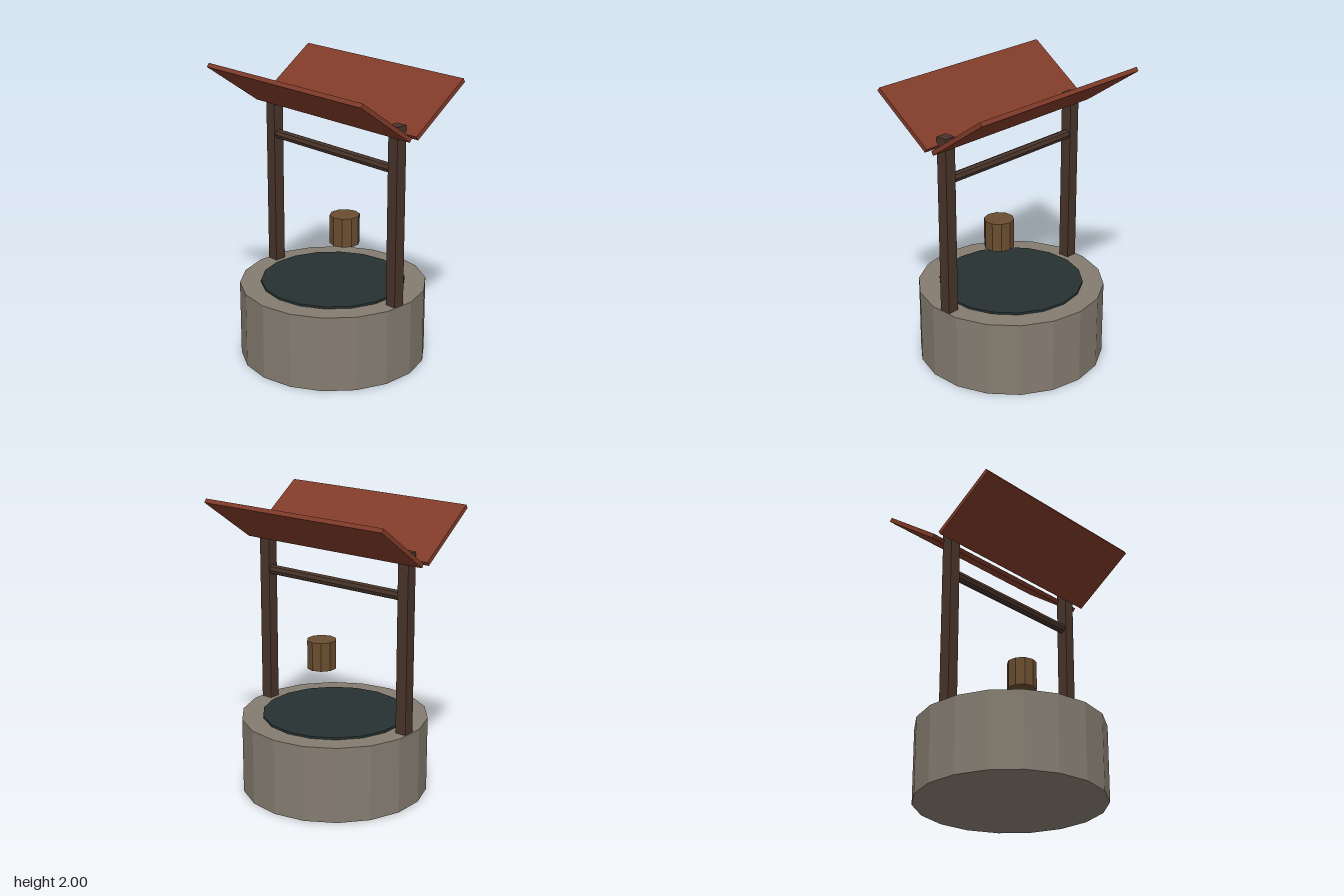
import * as THREE from 'three';

export function createModel() {
  const model = new THREE.Group();
  model.name = 'well';

  const material = (name, color) => {
    const m = new THREE.MeshStandardMaterial({ color, flatShading: true });
    m.name = name;
    return m;
  };
  const stone = material('stone', 0x857c70);
  const water = material('darkWater', 0x263131);
  const timber = material('darkTimber', 0x48342a);
  const bucketWood = material('bucketWood', 0x6a4d30);
  const roofRed = material('roofRed', 0x803b29);

  const add = (name, geometry, mat, x, y, z) => {
    const mesh = new THREE.Mesh(geometry, mat);
    mesh.name = name;
    mesh.position.set(x, y, z);
    model.add(mesh);
    return mesh;
  };

  // Solid stone base with a thin dark water disc standing just proud of it
  add('stoneBase', new THREE.CylinderGeometry(0.64, 0.64, 0.525, 18), stone, 0, 0.2625, 0);
  add('water', new THREE.CylinderGeometry(0.495, 0.495, 0.04, 18), water, 0, 0.52, 0);

  // Posts at both sides
  for (const side of [1, -1]) {
    add(side > 0 ? 'leftPost' : 'rightPost',
      new THREE.BoxGeometry(0.08, 1.25, 0.08), timber, side * 0.584, 1.127, 0);
  }

  // Winding axle between the posts
  const axle = add('axle', new THREE.CylinderGeometry(0.034, 0.034, 1.12, 8), timber, 0, 1.457, 0);
  axle.rotation.z = Math.PI / 2;

  // Hanging bucket, slightly off centre
  add('bucket', new THREE.CylinderGeometry(0.102, 0.102, 0.2, 10), bucketWood, 0.113, 0.935, 0);

  // Two roof boards opening upwards in a V, with a gap between them
  for (const side of [1, -1]) {
    const board = add(side > 0 ? 'frontRoofBoard' : 'backRoofBoard',
      new THREE.BoxGeometry(1.454, 0.03, 0.525), roofRed, 0, 1.8375, side * 0.244);
    board.rotation.x = -side * THREE.MathUtils.degToRad(35);
  }

  return model;
}
